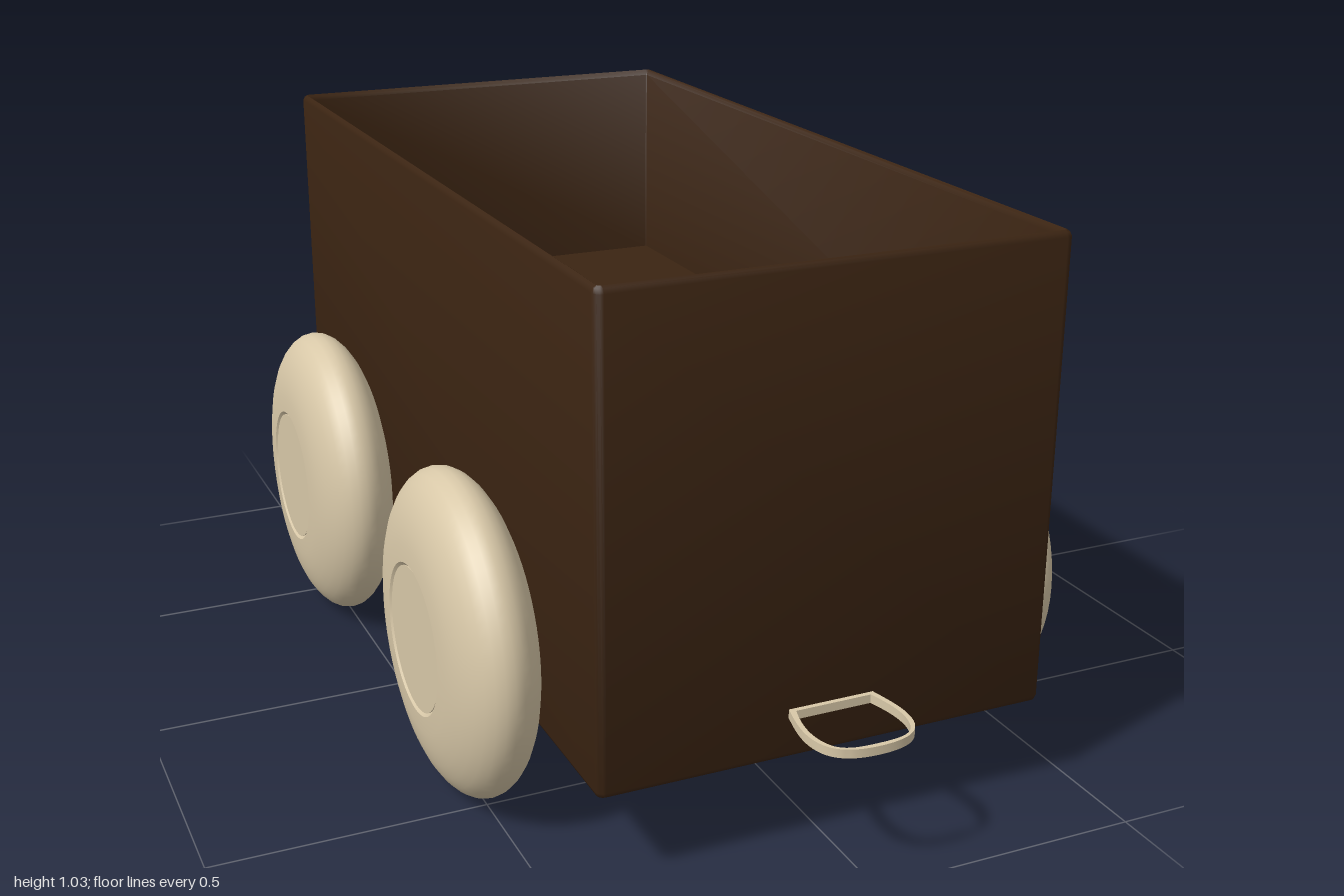
import * as THREE from 'three';
import { toCreasedNormals } from 'three/addons/utils/BufferGeometryUtils.js';

const brown = new THREE.MeshStandardMaterial({ color: 0x3b2412 });
brown.name = 'dark brown';
const cream = new THREE.MeshStandardMaterial({ color: 0xd8c8a8 });
cream.name = 'cream';

function add(parent, name, geometry, material, x = 0, y = 0, z = 0) {
  const mesh = new THREE.Mesh(geometry, material);
  mesh.name = name;
  mesh.position.set(x, y, z);
  parent.add(mesh);
  return mesh;
}

// Points around a rounded rectangle, shrunk by an inset
function ring(halfX, halfZ, radius, inset, y, scale) {
  const points = [];
  const r = Math.max(radius - inset, 0.003);
  const cx = halfX - inset - r, cz = halfZ - inset - r;
  const signs = [[1, 1], [-1, 1], [-1, -1], [1, -1]];
  signs.forEach(([sx, sz], corner) => {
    for (let k = 0; k <= 4; k++) {
      const a = (corner + k / 4) * Math.PI / 2;
      points.push(new THREE.Vector3(
        scale * (sx * cx + r * Math.cos(a)), y, scale * (sz * cz + r * Math.sin(a))));
    }
  });
  return points;
}

// Open box: rings run from under the base, up the outside, over the rim and down to the floor
function boxGeometry() {
  const profile = [ // inset, height, scale
    [0.012, 0.17, 0], [0.012, 0.17, 1], [0.0035, 0.1735, 1], [0, 0.182, 1],
    [0, 1.018, 1], [0.0035, 1.0255, 1], [0.009, 1.029, 1],
    [0.014, 1.0255, 1], [0.018, 1.018, 1], [0.018, 0.6, 1], [0.018, 0.6, 0],
  ];
  const rings = profile.map(([inset, y, s]) => ring(0.424, 0.845, 0.015, inset, y, s));
  const vertices = [];
  const n = rings[0].length;
  for (let i = 0; i < rings.length - 1; i++) {
    for (let j = 0; j < n; j++) {
      const k = (j + 1) % n;
      const a = rings[i][j], b = rings[i + 1][j], c = rings[i + 1][k], d = rings[i][k];
      if (profile[i + 1][2] > 0) vertices.push(...a, ...b, ...c);
      else vertices.push(...a, ...b, ...d);
      if (profile[i][2] > 0 && profile[i + 1][2] > 0) vertices.push(...a, ...c, ...d);
    }
  }
  const geometry = new THREE.BufferGeometry();
  geometry.setAttribute('position', new THREE.Float32BufferAttribute(vertices, 3));
  return toCreasedNormals(geometry, 0.9);
}

// Tyre with an oval section and a small lip around the hub
function tyreGeometry() {
  const points = [new THREE.Vector2(0.13, -0.078)];
  for (let i = 0; i <= 16; i++) {
    const t = (i / 16 - 0.5) * Math.PI;
    points.push(new THREE.Vector2(0.137 + 0.159 * Math.cos(t), 0.084 * Math.sin(t)));
  }
  points.push(new THREE.Vector2(0.13, 0.078));
  return toCreasedNormals(new THREE.LatheGeometry(points, 64), 0.6);
}

// D-shaped outline of the pull loop, drawn flat and extruded upward
function loopShape() {
  const outline = (path, e) => {
    path.moveTo(-0.08 + e, e);
    path.lineTo(0.08 - e, e);
    path.bezierCurveTo(0.09 - e, 0.04, 0.1 - e, 0.08, 0.09 - e, 0.115);
    path.bezierCurveTo(0.08 - e, 0.15, 0.05, 0.165 - e, 0, 0.165 - e);
    path.bezierCurveTo(-0.05, 0.165 - e, -0.08 + e, 0.15, -0.09 + e, 0.115);
    path.bezierCurveTo(-0.1 + e, 0.08, -0.09 + e, 0.04, -0.08 + e, e);
    return path;
  };
  const shape = outline(new THREE.Shape(), 0);
  shape.holes.push(outline(new THREE.Path(), 0.009));
  return shape;
}

export function createModel() {
  const model = new THREE.Group();
  model.name = 'wagon';

  add(model, 'openBox', boxGeometry(), brown, 0, 0, -0.015);

  // Four wheels with hubs
  const tyre = tyreGeometry();
  const hub = new THREE.CylinderGeometry(0.131, 0.131, 0.162, 64);
  for (const [side, label] of [[1, 'left'], [-1, 'right']]) {
    for (const [z, end] of [[0.397, 'Front'], [-0.45, 'Rear']]) {
      const wheel = new THREE.Group();
      wheel.name = `${label}${end}Wheel`;
      wheel.position.set(side * 0.509, 0.297, z);
      wheel.rotation.z = -side * Math.PI / 2;
      add(wheel, 'tyre', tyre, cream);
      add(wheel, 'hub', hub, cream);
      model.add(wheel);
    }
  }

  // Front pull loop
  const loop = new THREE.ExtrudeGeometry(loopShape(), {
    depth: 0.016, bevelEnabled: false, curveSegments: 12 });
  loop.rotateX(Math.PI / 2);
  add(model, 'pullLoop', toCreasedNormals(loop, 0.6), cream, 0, 0.263, 0.83);

  // Rear hitch: bent rod with a rounded head
  const hitch = new THREE.Group();
  hitch.name = 'hitch';
  const path = new THREE.CurvePath();
  const v = (y, z) => new THREE.Vector3(0, y, z);
  path.add(new THREE.LineCurve3(v(0.212, -0.85), v(0.212, -0.935)));
  path.add(new THREE.QuadraticBezierCurve3(v(0.212, -0.935), v(0.212, -0.974), v(0.25, -0.974)));
  path.add(new THREE.LineCurve3(v(0.25, -0.974), v(0.29, -0.974)));
  add(hitch, 'hitchRod', new THREE.TubeGeometry(path, 32, 0.012, 12), brown);
  const head = add(hitch, 'hitchHead', new THREE.SphereGeometry(0.024, 20, 12), brown, 0, 0.291, -0.976);
  head.scale.y = 0.5;
  model.add(hitch);

  return model;
}
